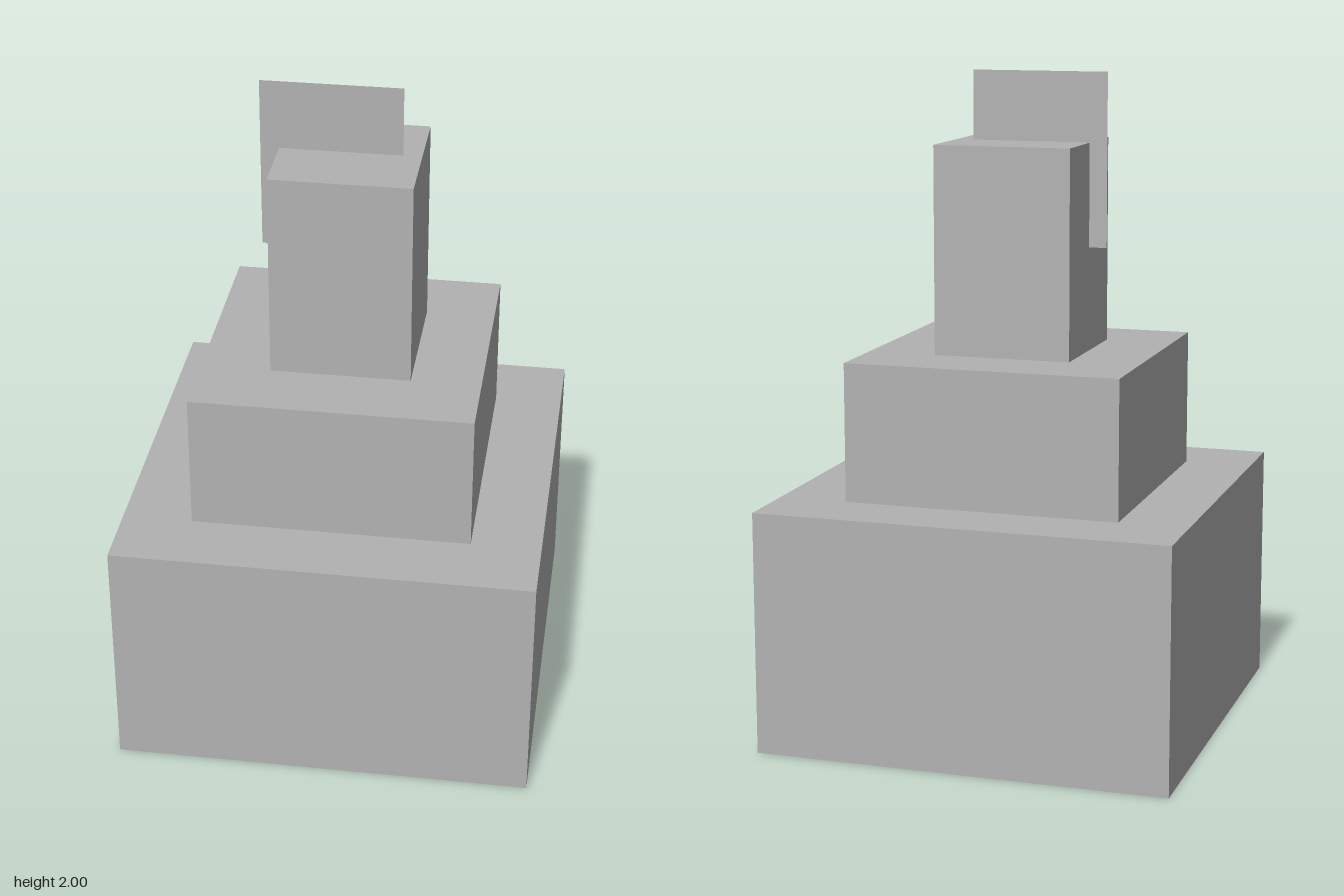
import * as THREE from 'three';

export function createModel() {
  const model = new THREE.Group();
  const stone = new THREE.MeshStandardMaterial({ color: 0xb2b2b2 });
  stone.name = 'grey stone';
  stone.side = THREE.DoubleSide; // the flag is a single open sheet

  // Stacked square tiers: name, width, bottom, top
  const tiers = [
    ['baseTier', 1.263, 0, 0.737],
    ['middleTier', 0.842, 0.737, 1.158],
    ['tower', 0.421, 1.158, 1.789],
  ];
  for (const [name, width, bottom, top] of tiers) {
    const tier = new THREE.Mesh(new THREE.BoxGeometry(width, top - bottom, width), stone);
    tier.name = name;
    tier.position.y = (bottom + top) / 2;
    model.add(tier);
  }

  // Flat upright panel set through the tower, offset to one side
  const panel = new THREE.Mesh(new THREE.PlaneGeometry(0.421, 0.526), stone);
  panel.name = 'topPanel';
  panel.position.set(-0.055, 1.737, 0);
  model.add(panel);

  return model;
}
